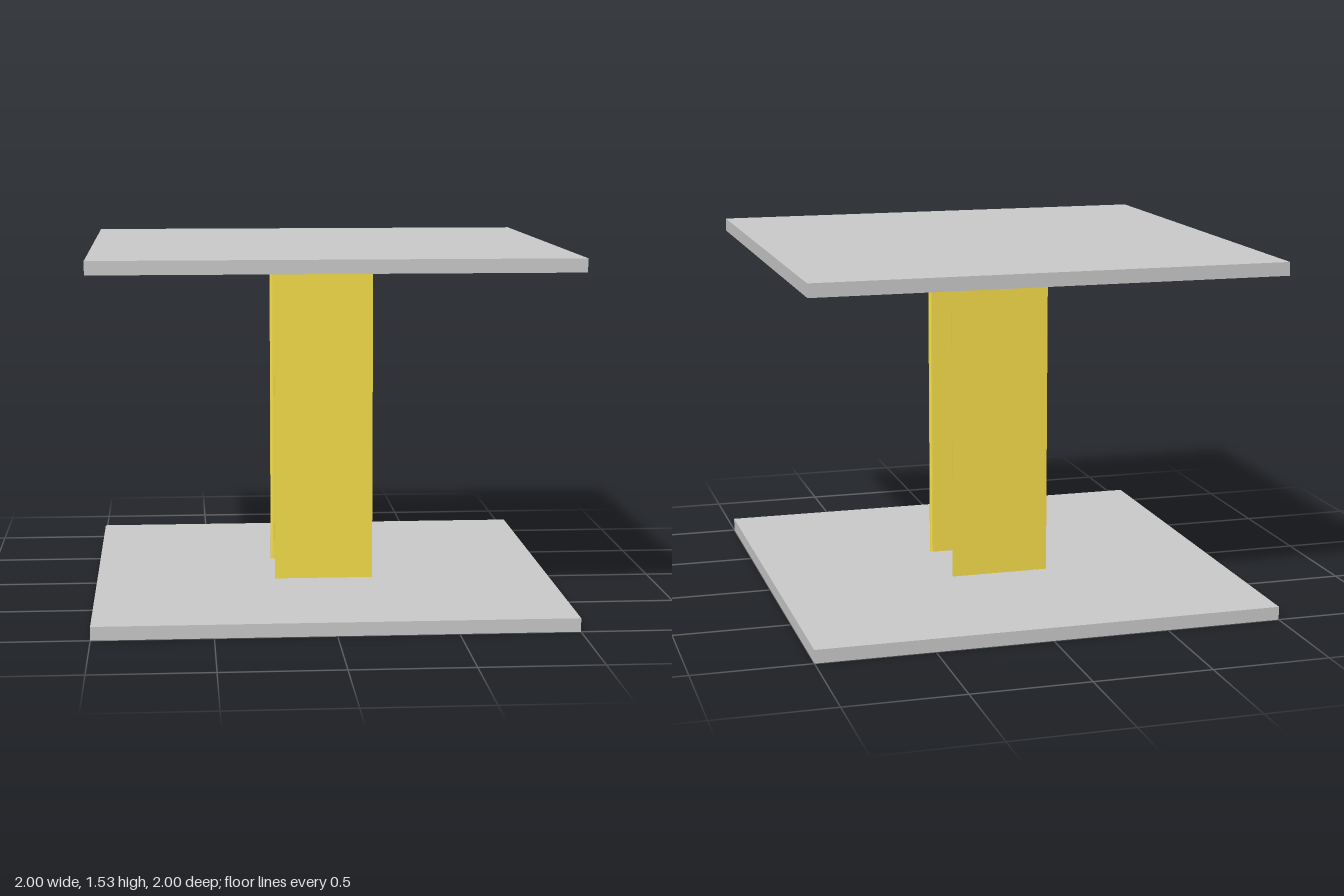
import * as THREE from 'three';

const PLATE = 0.057, HEIGHT = 1.53;
const HALF_WIDTH = 0.216, HALF_DEPTH = 0.207; // column section
const FLANGE = 0.018, WEB = 0.013, TOE = 0.012, ROOT = 0.012;

// H-shaped section: rounded flange toes, filleted web roots
function columnSection() {
  const inner = HALF_DEPTH - FLANGE, w = WEB / 2;
  const s = new THREE.Shape();
  s.moveTo(-HALF_WIDTH, -HALF_DEPTH);
  s.lineTo(HALF_WIDTH, -HALF_DEPTH);
  s.lineTo(HALF_WIDTH, -inner - TOE);
  s.quadraticCurveTo(HALF_WIDTH, -inner, HALF_WIDTH - TOE, -inner);
  s.lineTo(w + ROOT, -inner);
  s.quadraticCurveTo(w, -inner, w, -inner + ROOT);
  s.lineTo(w, inner - ROOT);
  s.quadraticCurveTo(w, inner, w + ROOT, inner);
  s.lineTo(HALF_WIDTH - TOE, inner);
  s.quadraticCurveTo(HALF_WIDTH, inner, HALF_WIDTH, inner + TOE);
  s.lineTo(HALF_WIDTH, HALF_DEPTH);
  s.lineTo(-HALF_WIDTH, HALF_DEPTH);
  s.lineTo(-HALF_WIDTH, inner + TOE);
  s.quadraticCurveTo(-HALF_WIDTH, inner, -HALF_WIDTH + TOE, inner);
  s.lineTo(-w - ROOT, inner);
  s.quadraticCurveTo(-w, inner, -w, inner - ROOT);
  s.lineTo(-w, -inner + ROOT);
  s.quadraticCurveTo(-w, -inner, -w - ROOT, -inner);
  s.lineTo(-HALF_WIDTH + TOE, -inner);
  s.quadraticCurveTo(-HALF_WIDTH, -inner, -HALF_WIDTH, -inner - TOE);
  s.closePath();
  return s;
}

export function createModel() {
  const model = new THREE.Group();
  model.name = 'columnBetweenPlates';
  const grey = new THREE.MeshStandardMaterial({ color: 0xcccccc });
  const yellow = new THREE.MeshStandardMaterial({ color: 0xf8e04a });

  // Square plates at the foot and the head
  const plateGeometry = new THREE.BoxGeometry(2, PLATE, 2);
  for (const [name, y] of [['basePlate', PLATE / 2], ['topPlate', HEIGHT - PLATE / 2]]) {
    const plate = new THREE.Mesh(plateGeometry, grey);
    plate.name = name;
    plate.position.y = y;
    model.add(plate);
  }

  // Upright H-section column, flanges facing front and back
  const columnGeometry = new THREE.ExtrudeGeometry(columnSection(), {
    depth: HEIGHT - 2 * PLATE, bevelEnabled: false, curveSegments: 4,
  });
  columnGeometry.rotateX(-Math.PI / 2);
  const column = new THREE.Mesh(columnGeometry, yellow);
  column.name = 'column';
  column.position.y = PLATE;
  model.add(column);

  return model;
}
